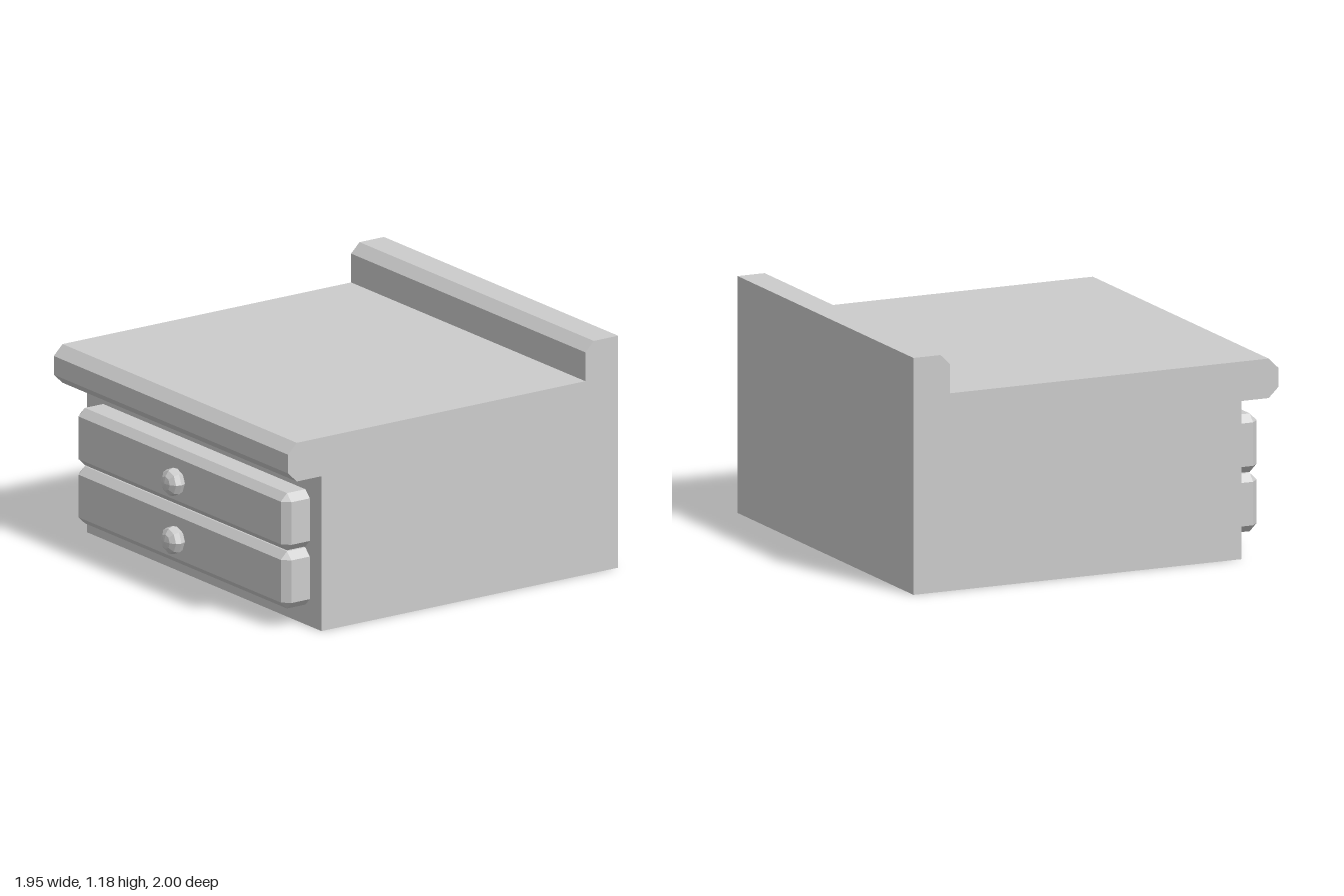
import * as THREE from 'three';
import { ConvexGeometry } from 'three/addons/geometries/ConvexGeometry.js';

const material = new THREE.MeshStandardMaterial({ color: 0xcccccc, flatShading: true });

function addMesh(parent, name, geometry) {
  const mesh = new THREE.Mesh(geometry, material);
  mesh.name = name;
  parent.add(mesh);
  return mesh;
}

// Side profile (z, y) of the cabinet with its worktop lip and rear upstand
function cabinetGeometry() {
  const halfWidth = 0.977;
  const profile = [
    [-1, 0], [0.762, 0], [0.762, 0.785], [0.908, 0.785], [0.96, 0.835], [0.96, 0.93],
    [0.908, 0.981], [-0.805, 0.981], [-0.805, 1.127], [-0.855, 1.176], [-1, 1.176],
  ];
  const shape = new THREE.Shape(profile.map(([z, y]) => new THREE.Vector2(z, y)));
  const geometry = new THREE.ExtrudeGeometry(shape, { depth: 2 * halfWidth, bevelEnabled: false });
  return geometry.translate(0, 0, -halfWidth).rotateY(-Math.PI / 2);
}

// Panel with chamfered front edges and small triangular corners
function drawerGeometry() {
  const w = 0.88, h = 0.145, front = 0.908, back = 0.74, c = 0.037;
  const points = [];
  for (const sx of [-1, 1]) {
    for (const sy of [-1, 1]) {
      points.push(new THREE.Vector3(sx * (w - c), sy * (h - c), front));
      for (const z of [front - c, back]) {
        points.push(new THREE.Vector3(sx * w, sy * (h - c), z));
        points.push(new THREE.Vector3(sx * (w - c), sy * h, z));
      }
    }
  }
  return new ConvexGeometry(points);
}

export function createModel() {
  const model = new THREE.Group();
  model.name = 'drawerCabinet';
  addMesh(model, 'cabinet', cabinetGeometry());

  // Two stacked drawers, each with a faceted knob
  [['lower', 0.245], ['upper', 0.54]].forEach(([level, y]) => {
    const drawer = new THREE.Group();
    drawer.name = level + 'Drawer';
    drawer.position.y = y;
    addMesh(drawer, level + 'DrawerFront', drawerGeometry());
    const knob = new THREE.SphereGeometry(0.072, 8, 6).rotateX(Math.PI / 2).scale(1, 1, 0.72);
    addMesh(drawer, level + 'Knob', knob).position.z = 0.948;
    model.add(drawer);
  });
  return model;
}
